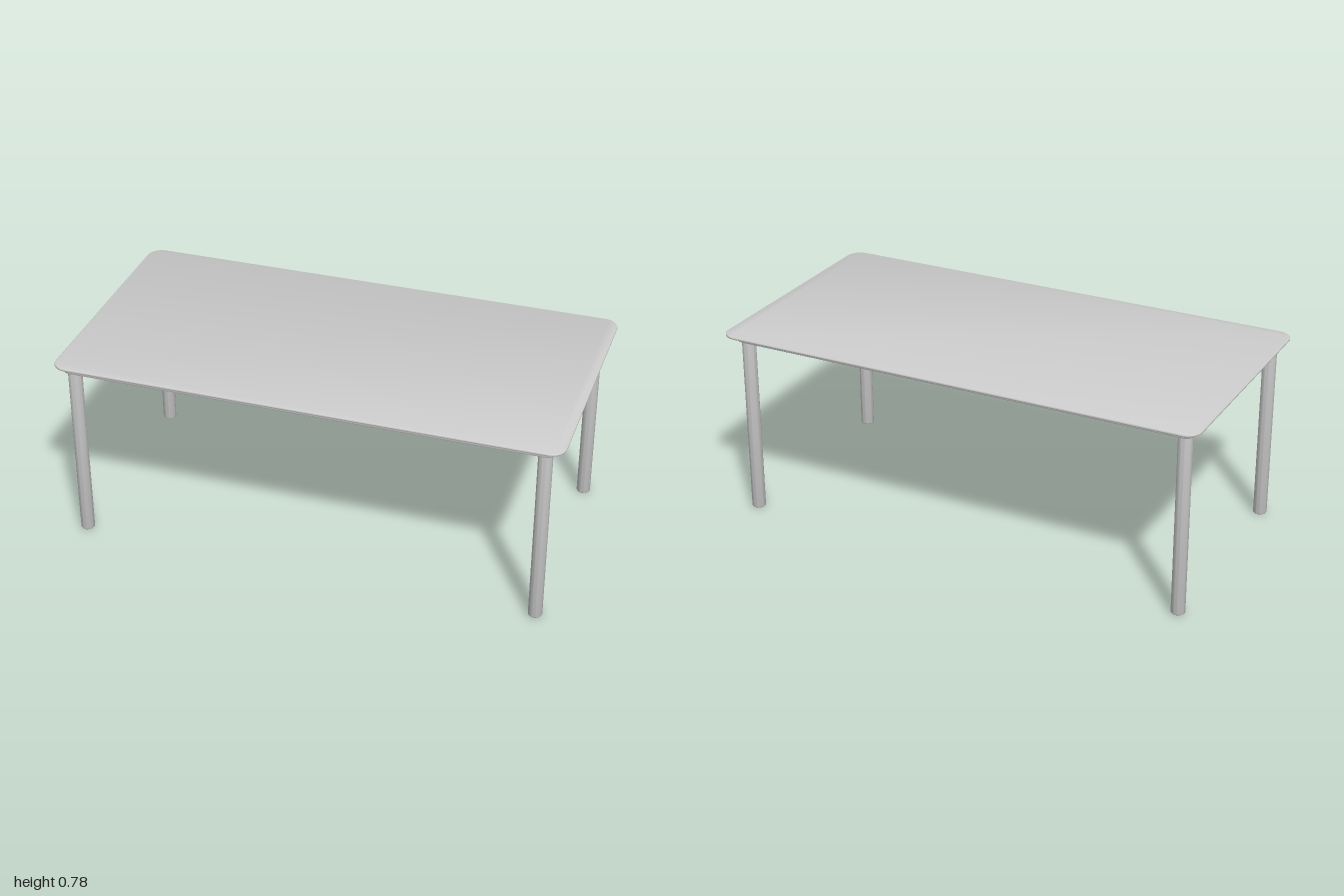
import * as THREE from 'three';
import { toCreasedNormals } from 'three/addons/utils/BufferGeometryUtils.js';

const material = new THREE.MeshStandardMaterial({ color: 0xcccccc });

// Rounded rectangle centred on the origin
function roundedRect(Type, width, depth, r) {
  const x = width / 2, y = depth / 2, p = new Type();
  p.moveTo(-x + r, -y);
  p.lineTo(x - r, -y);
  p.absarc(x - r, -y + r, r, -Math.PI / 2, 0);
  p.lineTo(x, y - r);
  p.absarc(x - r, y - r, r, 0, Math.PI / 2);
  p.lineTo(-x + r, y);
  p.absarc(-x + r, y - r, r, Math.PI / 2, Math.PI);
  p.lineTo(-x, -y + r);
  p.absarc(-x + r, -y + r, r, Math.PI, Math.PI * 1.5);
  return p;
}

// Horizontal slab from y0 to y1 with softened edges
function slab(name, shape, y0, y1, bevel) {
  let geo = new THREE.ExtrudeGeometry(shape, {
    depth: y1 - y0 - 2 * bevel, bevelThickness: bevel, bevelSize: bevel,
    bevelOffset: -bevel, bevelSegments: 4, curveSegments: 10,
  });
  geo.rotateX(-Math.PI / 2);
  geo.translate(0, y0 + bevel, 0);
  geo = toCreasedNormals(geo, 0.6);
  const mesh = new THREE.Mesh(geo, material);
  mesh.name = name;
  return mesh;
}

export function createModel() {
  const table = new THREE.Group();
  table.name = 'table';

  // Thin top with rounded corners
  table.add(slab('tabletop', roundedRect(THREE.Shape, 2, 1.025, 0.06), 0.766, 0.777, 0.004));

  // Frame of rails under the top, its upper edge sunk into the top
  const cx = -0.003, cz = 0.007, rail = 0.08;
  const outline = roundedRect(THREE.Shape, 1.925, 0.953, 0.03);
  outline.holes.push(roundedRect(THREE.Path, 1.925 - 2 * rail, 0.953 - 2 * rail, 0.01));
  const frame = slab('frame', outline, 0.737, 0.774, 0.008);
  frame.position.set(cx, 0, cz);
  table.add(frame);

  // Round legs with a softened foot
  const r = 0.0275, f = 0.006, profile = [new THREE.Vector2(0, 0)];
  for (let i = 0; i <= 4; i++) {
    const a = (i / 4) * Math.PI / 2;
    profile.push(new THREE.Vector2(r - f + f * Math.sin(a), f - f * Math.cos(a)));
  }
  profile.push(new THREE.Vector2(r, 0.745), new THREE.Vector2(0, 0.745));
  const legGeo = toCreasedNormals(new THREE.LatheGeometry(profile, 32), 0.6);
  for (const sx of [-1, 1]) {
    for (const sz of [-1, 1]) {
      const leg = new THREE.Mesh(legGeo, material);
      leg.name = (sz > 0 ? 'front' : 'back') + (sx > 0 ? 'Left' : 'Right') + 'Leg';
      leg.position.set(cx + sx * 0.925, 0, cz + sz * 0.436);
      table.add(leg);
    }
  }
  return table;
}
